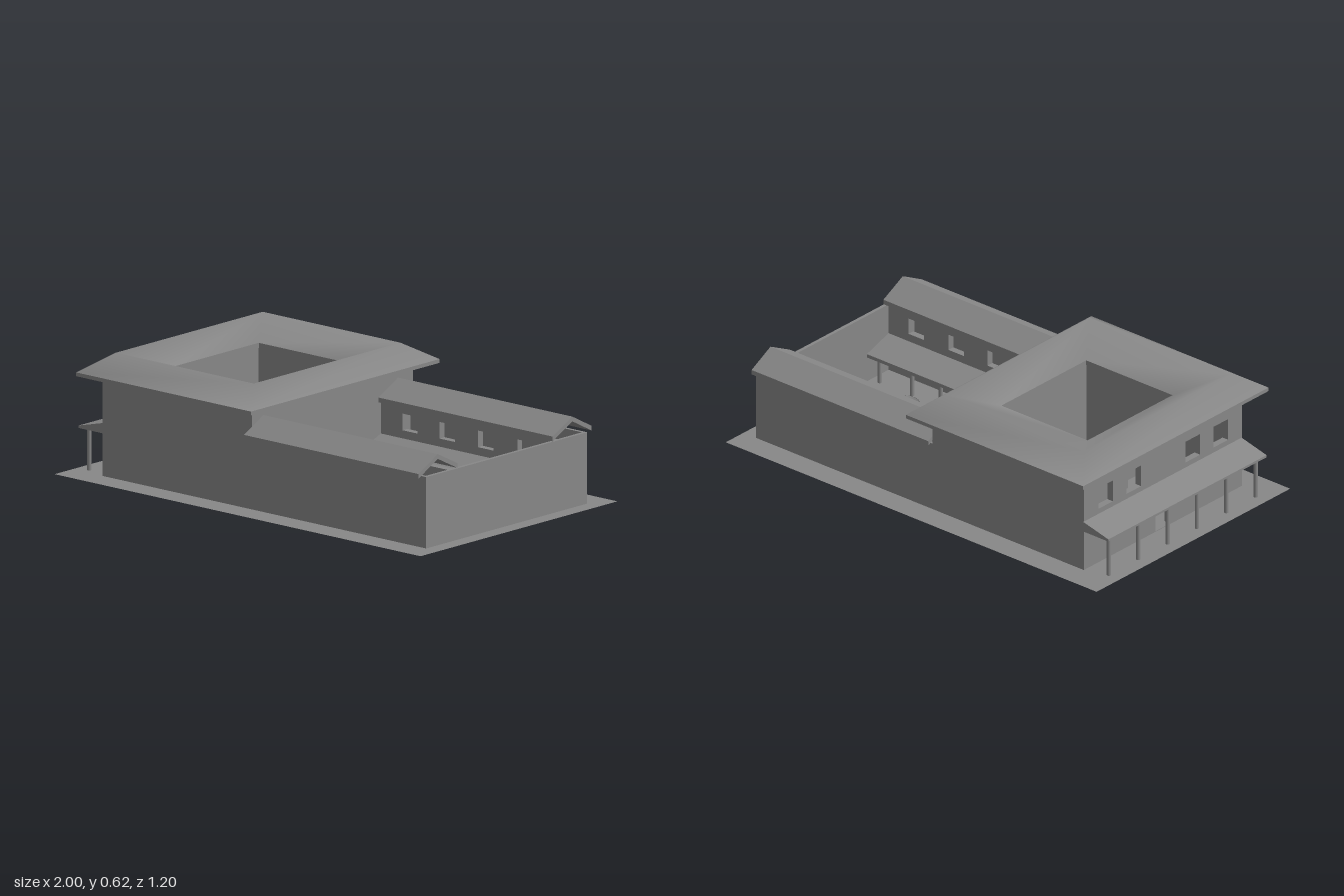
import * as THREE from 'three';

const material = new THREE.MeshStandardMaterial({ color: 0x888888, side: THREE.DoubleSide });
const GROUND = 0.1;

function add(parent, name, geometry, x = 0, y = 0, z = 0) {
  const mesh = new THREE.Mesh(geometry, material);
  mesh.name = name;
  mesh.position.set(x, y, z);
  parent.add(mesh);
  return mesh;
}

const rect = (u0, u1, y0, y1) => [[u0, y0], [u1, y0], [u1, y1], [u0, y1]];
const toPoints = (list) => list.map(([u, y]) => new THREE.Vector2(u, y));

// Extrudes an outline with holes along x (outline in z, y) or along z (outline in x, y)
function prism(parent, name, axis, from, to, outline, holes = []) {
  const shape = new THREE.Shape(toPoints(outline));
  holes.forEach((h) => shape.holes.push(new THREE.Path(toPoints(h))));
  const geometry = new THREE.ExtrudeGeometry(shape, { depth: to - from, bevelEnabled: false });
  if (axis === 'x') geometry.rotateY(-Math.PI / 2).translate(to, 0, 0);
  else geometry.translate(0, 0, from);
  return add(parent, name, geometry);
}

// Skin over rectangular loops [y, x0, x1, z0, z1], with smooth or sharp folds
function rectSkin(loops, smooth = false) {
  const pos = loops.flatMap(([y, x0, x1, z0, z1]) => [x0, y, z1, x1, y, z1, x1, y, z0, x0, y, z0]);
  const index = [];
  for (let i = 0; i < loops.length - 1; i++) {
    for (let k = 0; k < 4; k++) {
      const a = i * 4 + k;
      const b = i * 4 + ((k + 1) % 4);
      index.push(a, b, b + 4, a, b + 4, a + 4);
    }
  }
  const indexed = new THREE.BufferGeometry();
  indexed.setAttribute('position', new THREE.Float32BufferAttribute(pos, 3));
  indexed.setIndex(index);
  const geometry = smooth ? indexed : indexed.toNonIndexed();
  geometry.computeVertexNormals();
  return geometry;
}

function post(parent, name, x, z, y0, y1) {
  add(parent, name, new THREE.CylinderGeometry(0.009, 0.009, y1 - y0, 12), x, (y0 + y1) / 2, z);
}

const door = (u) => rect(u - 0.045, u + 0.045, GROUND + 0.003, 0.285);

function buildAtrium() {
  const g = new THREE.Group();
  g.name = 'atrium';
  const top = 0.53;

  // Outer walls
  for (const [name, z] of [['atriumFrontWall', 0.476], ['atriumBackWall', -0.49]])
    prism(g, name, 'z', z, z + 0.015, rect(-0.835, -0.02, GROUND, top));
  const windows = [-0.355, -0.18, 0.186, 0.36].map((z) => rect(z - 0.045, z + 0.045, 0.345, 0.44));
  prism(g, 'entranceWall', 'x', -0.835, -0.805, rect(-0.485, 0.486, GROUND, top), [...windows, door(0)]);
  prism(g, 'gardenSideWall', 'x', -0.035, -0.02, rect(-0.485, 0.486, GROUND, top), [door(-0.03)]);

  // Walls around the inner court
  for (const [name, z, doors] of [['courtFrontWall', 0.275, []], ['courtBackWall', -0.29, [door(-0.56)]]])
    prism(g, name, 'z', z, z + 0.015, rect(-0.685, -0.17, GROUND, top), doors);
  for (const [name, x] of [['courtRightWall', -0.685], ['courtLeftWall', -0.185]])
    prism(g, name, 'x', x, x + 0.015, rect(-0.275, 0.275, GROUND, top), [door(0)]);

  // Roof with a softly rounded ridge and a central opening
  const eave = [-0.903, 0.053, -0.572, 0.577];
  const opening = [-0.658, -0.193, -0.263, 0.263];
  add(g, 'atriumRoofTop', rectSkin([
    [0.54, ...eave], [0.616, -0.8, -0.047, -0.445, 0.449], [0.545, ...opening],
  ], true));
  add(g, 'atriumRoofUnderside', rectSkin([
    [0.545, ...opening], [0.524, ...opening], [0.524, ...eave], [0.54, ...eave],
  ]));

  // Sunken rain pool
  const rim = [-0.583, -0.293, -0.1, 0.1];
  add(g, 'poolSides', rectSkin([[0, ...rim], [GROUND, ...rim]]));
  add(g, 'poolFloor', new THREE.BoxGeometry(0.29, 0.005, 0.2), -0.438, 0.0025, 0);
  return g;
}

function buildEntrancePorch() {
  const g = new THREE.Group();
  g.name = 'entrancePorch';
  prism(g, 'entrancePorchRoof', 'z', -0.493, 0.488,
    [[-0.97, 0.278], [-0.835, 0.278], [-0.835, 0.322], [-0.97, 0.288]]);
  for (let i = 0; i < 6; i++) post(g, 'entrancePost', -0.94, -0.455 + i * 0.182, GROUND, 0.28);
  return g;
}

function buildGarden() {
  const g = new THREE.Group();
  g.name = 'garden';
  const end = 0.933;
  const wallTop = 0.4;
  prism(g, 'gardenEndWall', 'x', end - 0.015, end, rect(-0.49, 0.491, GROUND, wallTop));

  const windows = [0.14, 0.343, 0.553, 0.768].map((x) => rect(x - 0.042, x + 0.042, 0.302, 0.372));
  // side: sign along z, wing positions given as distances from the centre line
  const wings = [
    { side: 1, outer: 0.491, eave: 0.538, ridge: 0.42, inner: 0.3, porch: 0.18, posts: 0.208 },
    { side: -1, outer: 0.49, eave: 0.517, ridge: 0.4, inner: 0.28, porch: 0.188, posts: 0.202 },
  ];
  for (const { side, outer, eave, ridge, inner, porch, posts } of wings) {
    const wing = new THREE.Group();
    wing.name = side > 0 ? 'frontWing' : 'backWing';
    g.add(wing);
    const slab = (name, a, b, outline, holes) => {
      const [from, to] = side > 0 ? [a, b] : [-b, -a];
      prism(wing, name, 'z', from, to, outline, holes);
    };
    const across = (pts) => pts.map(([d, y]) => [d * side, y]);
    const wallZ = inner + 0.015;
    slab('wingOuterWall', outer - 0.015, outer, rect(-0.02, end, GROUND, wallTop));
    slab('wingInnerWall', wallZ, wallZ + 0.03, rect(-0.02, end - 0.015, GROUND, wallTop), windows);

    // Gabled wing roof
    prism(wing, 'wingRoof', 'x', -0.02, end, across([
      [eave, 0.402], [eave, 0.422], [ridge, 0.483], [inner, 0.422], [inner, 0.402], [ridge, 0.463],
    ]));
    // Lean-to walkway roof on posts
    prism(wing, 'walkwayRoof', 'x', -0.02, end - 0.015, across([
      [wallZ, 0.252], [wallZ, 0.268], [porch, 0.225], [porch, 0.21],
    ]));
    for (const x of [0.038, 0.198, 0.368, 0.543, 0.698, 0.873])
      post(wing, 'walkwayPost', x, side * posts, 0.073, 0.225);
  }

  // Fountain with a round bowl
  const profile = [[0, 0.096], [0.022, 0.096], [0.022, 0.108], [0.012, 0.118], [0.012, 0.15], [0.045, 0.165],
    [0.072, 0.19], [0.067, 0.192], [0.04, 0.172], [0.012, 0.165], [0.012, 0.195], [0, 0.2]];
  add(g, 'fountain', new THREE.LatheGeometry(toPoints(profile), 32), 0.57, 0, 0);
  return g;
}

export function createModel() {
  const model = new THREE.Group();
  model.name = 'courtyardHouse';

  // Thin ground with a hole for the pool
  const ground = new THREE.Shape(toPoints(rect(-1, 1, -0.6, 0.6)));
  ground.holes.push(new THREE.Path(toPoints(rect(-0.583, -0.293, -0.1, 0.1))));
  add(model, 'ground', new THREE.ShapeGeometry(ground).rotateX(-Math.PI / 2), 0, GROUND, 0);

  model.add(buildAtrium(), buildEntrancePorch(), buildGarden());
  return model;
}
